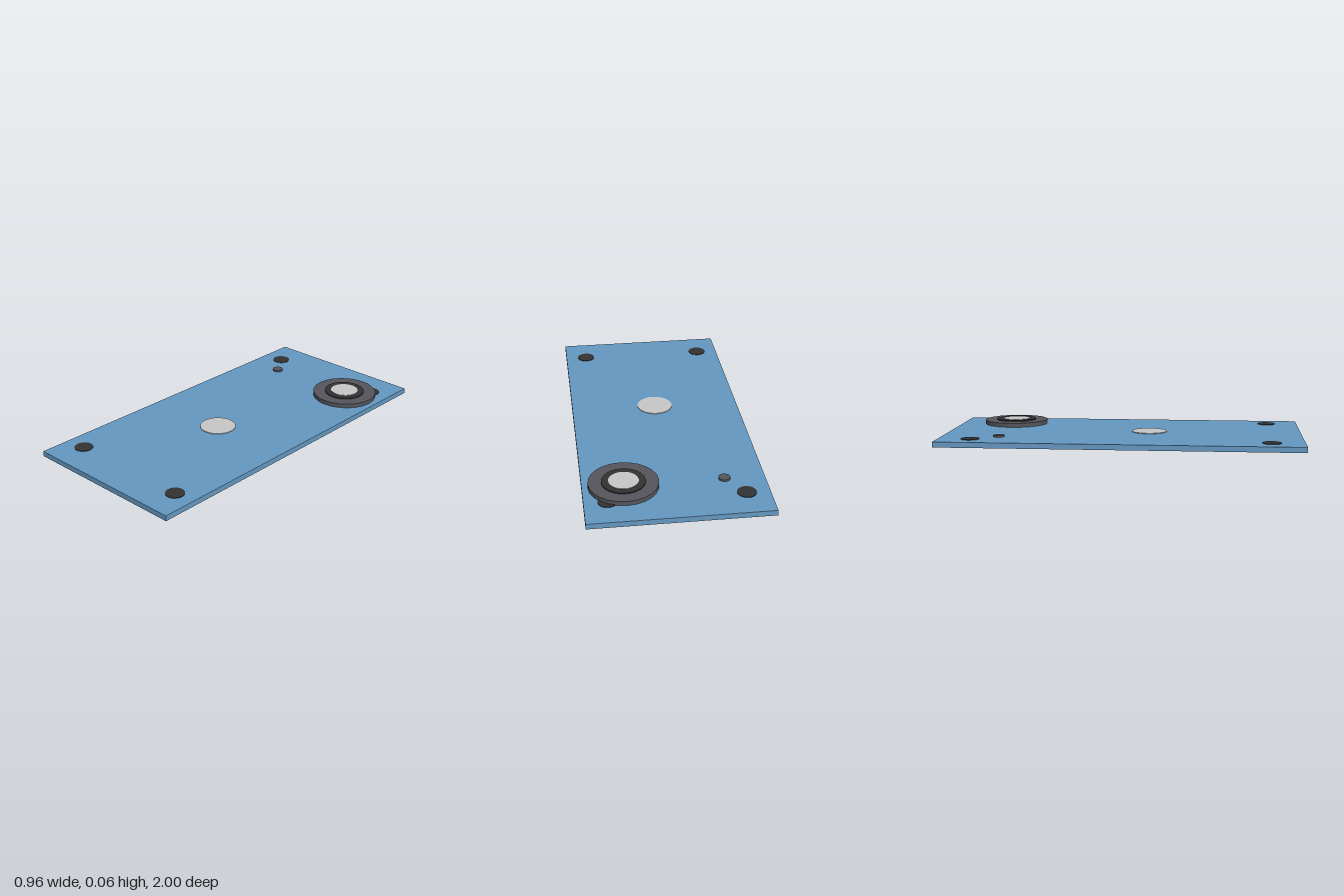
import * as THREE from 'three';

export function createModel() {
  const model = new THREE.Group();
  model.name = 'panel';

  const material = (name, color) => {
    const m = new THREE.MeshStandardMaterial({ color });
    m.name = name;
    return m;
  };
  const blue = material('blue', 0x6699c2);
  const charcoal = material('charcoal', 0x333333);
  const slate = material('slate grey', 0x55565c);
  const silver = material('silver', 0xc8c8c8);

  const add = (name, geometry, mat, x, y, z) => {
    const mesh = new THREE.Mesh(geometry, mat);
    mesh.name = name;
    mesh.position.set(x, y, z);
    model.add(mesh);
  };
  // Upright disc standing between two heights
  const disc = (name, mat, x, z, radius, bottom, top, sides = 24) =>
    add(name, new THREE.CylinderGeometry(radius, radius, top - bottom, sides),
      mat, x, (bottom + top) / 2, z);

  // Flat plate
  const top = 0.03;
  add('plate', new THREE.BoxGeometry(0.96, top, 2), blue, 0, top / 2, 0);

  // Corner fixings
  for (const x of [-0.357, 0.357])
    for (const z of [-0.82, 0.82])
      disc('cornerFixing', charcoal, x, z, 0.051, top - 0.005, 0.033);

  // Stepped round housing near the back corner
  disc('housing', slate, 0.263, -0.68, 0.185, top - 0.005, 0.054);
  disc('innerRing', charcoal, 0.263, -0.68, 0.116, 0.05, 0.06);
  disc('lens', silver, 0.263, -0.68, 0.08, 0.055, 0.062);

  // Small stud and central badge
  disc('stud', slate, -0.265, -0.68, 0.031, top - 0.005, 0.04);
  disc('centreDisc', silver, 0, 0.14, 0.1, top - 0.005, 0.034, 32);

  return model;
}
